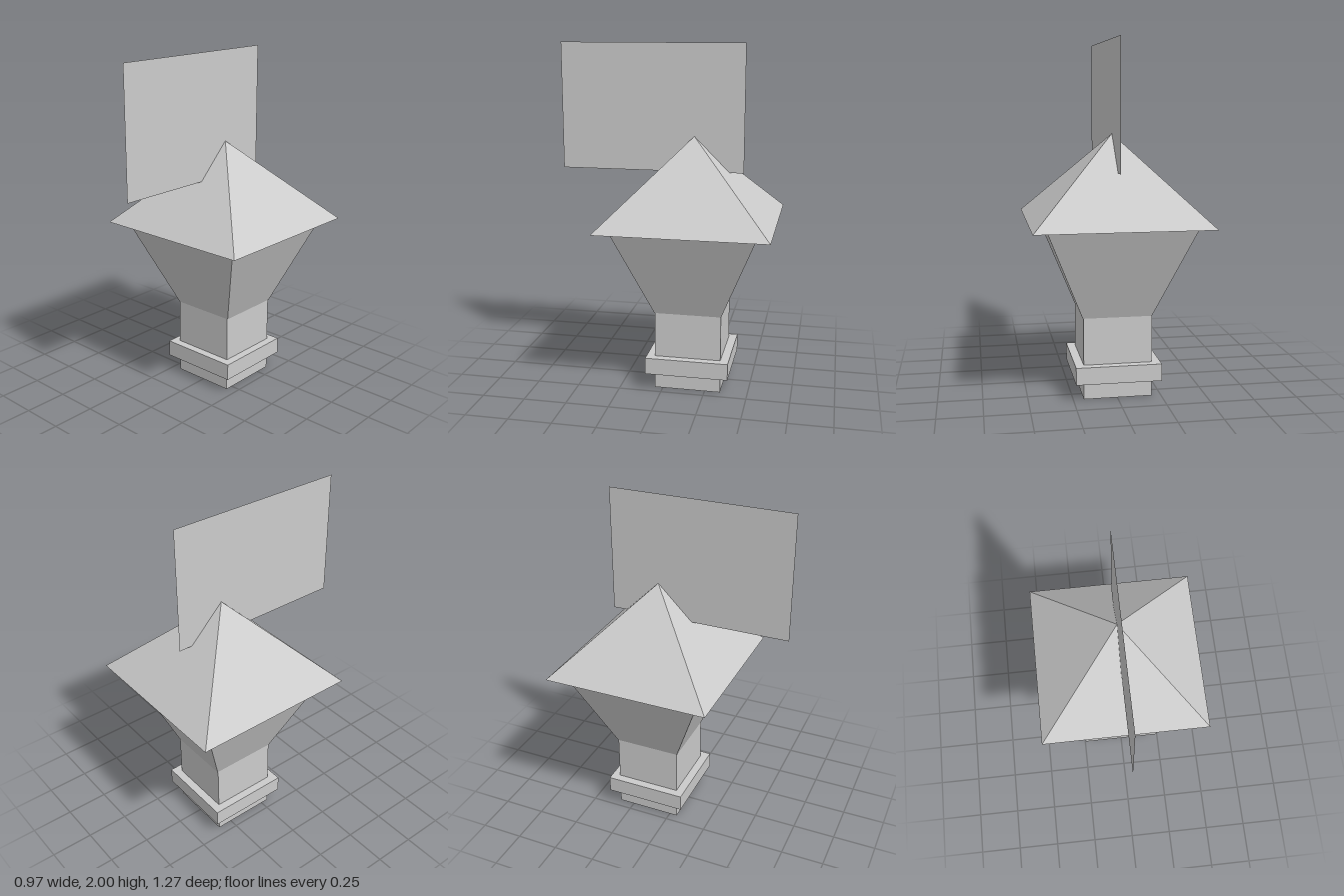
import * as THREE from 'three';

export function createModel() {
  const model = new THREE.Group();
  const solid = new THREE.MeshStandardMaterial({ color: 0xcccccc, flatShading: true });
  const thin = new THREE.MeshStandardMaterial({ color: 0xcccccc, flatShading: true, side: THREE.DoubleSide });

  function add(parent, name, geometry, material, x, y, z) {
    const mesh = new THREE.Mesh(geometry, material);
    mesh.name = name;
    mesh.position.set(x, y, z);
    parent.add(mesh);
  }

  // Open four-sided frustum, given by half widths at top and bottom
  function frustum(top, bottom, height) {
    const r = Math.SQRT2;
    return new THREE.CylinderGeometry(top * r, bottom * r, height, 4, 1, true).rotateY(Math.PI / 4);
  }

  // Square tower, set back behind the centre
  const tower = new THREE.Group();
  tower.name = 'tower';
  tower.position.z = -0.147;
  model.add(tower);

  // Post runs from the ground up into the hollow roof
  add(tower, 'post', new THREE.BoxGeometry(0.387, 1.27, 0.387), solid, -0.003, 0.635, 0);
  add(tower, 'baseBand', new THREE.BoxGeometry(0.484, 0.098, 0.484), solid, -0.003, 0.149, 0);

  // Flared head and open-bottomed pyramid roof
  add(tower, 'flaredHead', frustum(0.408, 0.195, 0.525), thin, 0, 0.7275, 0);
  const roof = new THREE.ConeGeometry(0.487 * Math.SQRT2, 0.485, 4, 1, true).rotateY(Math.PI / 4);
  add(tower, 'roof', roof, thin, 0, 1.2325, 0);

  // Thin upright panel above the roof, running front to back
  const panel = new THREE.PlaneGeometry(1.07, 0.73).rotateY(Math.PI / 2);
  add(model, 'panel', panel, thin, 0, 1.635, 0.1);

  return model;
}
